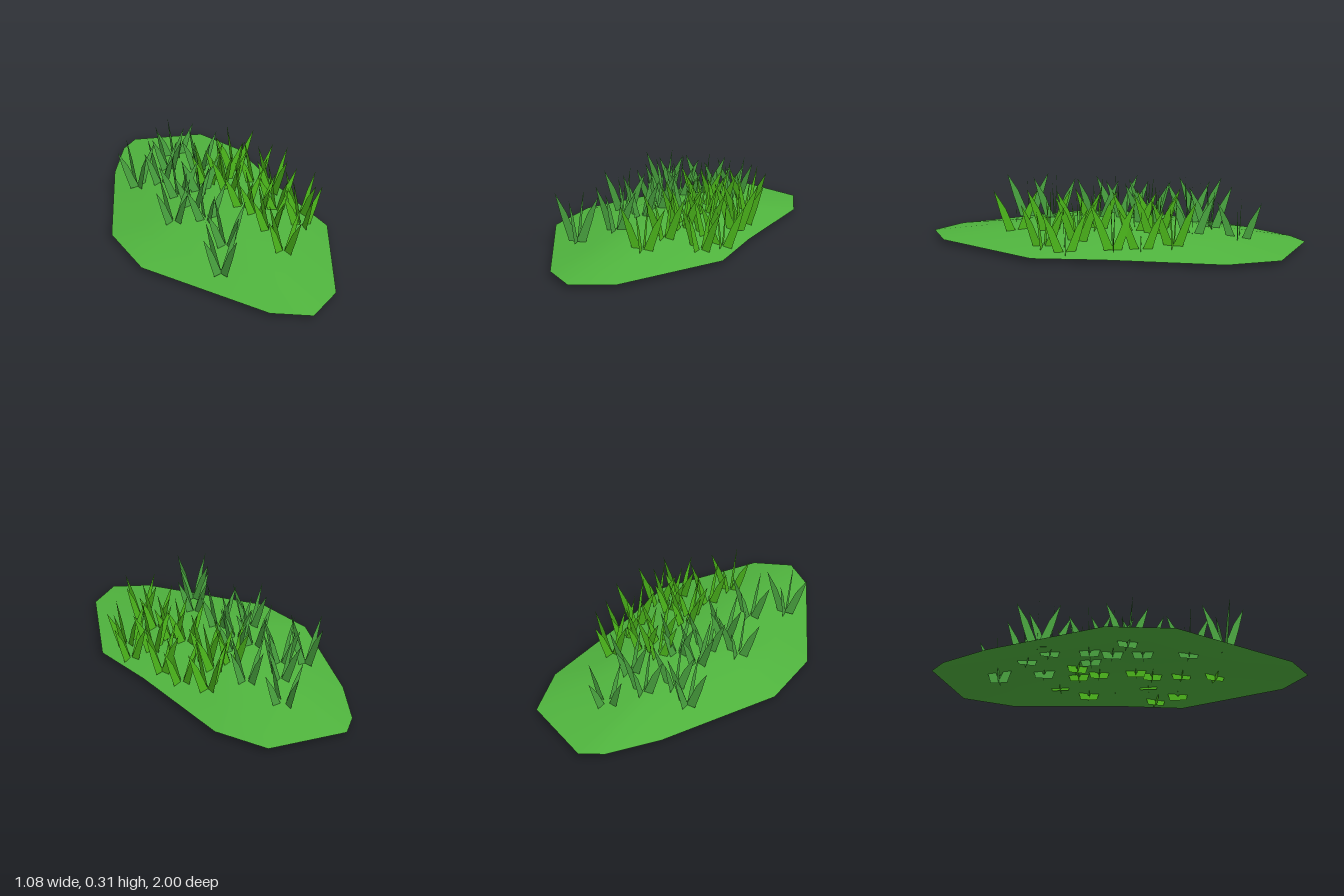
import * as THREE from 'three';

const GROUND = 0x50b53e, DEEP = 0x4caa42, BRIGHT = 0x4ebc1c;

// Outline of the mound seen from above, as x, z
const outline = [
  [0.04, -1], [0.42, -0.86], [0.52, -0.59], [0.49, 0.02], [0.5, 0.38], [0.19, 0.9],
  [-0.01, 1], [-0.18, 0.88], [-0.54, 0.24], [-0.54, -0.11], [-0.24, -0.7], [-0.07, -0.93],
];

// Tufts as x, base height, z
const deepTufts = [
  [0.13, 0.005, -0.65], [0.16, 0.05, -0.41], [-0.1, 0.06, -0.38], [-0.1, 0.065, -0.17],
  [-0.08, 0.065, -0.05], [-0.235, 0.06, 0.02], [-0.09, 0.065, 0.11], [-0.11, 0.065, 0.35],
  [-0.24, 0.06, 0.52], [0.03, 0.07, -0.16], [-0.22, 0.06, -0.44], [0.01, 0.06, -0.5],
];
const brightTufts = [
  [0.34, 0.055, -0.32], [0.38, 0.02, -0.16], [0.425, 0.015, 0.22], [0.36, 0.02, 0.34],
  [0.16, 0.06, 0.34], [0.13, 0.045, 0.52], [0.15, 0.065, 0.09], [0.18, 0.065, -0.11],
  [0.11, 0.065, -0.23], [0.21, 0.06, -0.22], [0.18, 0.06, 0.18], [0.4, 0.055, -0.02],
  [0.31, 0.06, 0.17],
];

// Open shell: outline rings shrinking up to a low apex
function moundGeometry() {
  const rings = [[1, 0.028], [0.7, 0.065], [0.38, 0.1]];
  const n = outline.length, pos = [], index = [];
  for (const [s, y] of rings) for (const [x, z] of outline) pos.push(x * s, y, z * s);
  pos.push(0, 0.112, 0);
  for (let r = 0; r < rings.length; r++) {
    for (let i = 0; i < n; i++) {
      const a = r * n + i, b = r * n + (i + 1) % n;
      if (r === rings.length - 1) index.push(a, rings.length * n, b);
      else index.push(a, a + n, b, b, a + n, b + n);
    }
  }
  const g = new THREE.BufferGeometry();
  g.setAttribute('position', new THREE.Float32BufferAttribute(pos, 3));
  g.setIndex(index);
  g.computeVertexNormals();
  return g;
}

// Two blades splaying from a shared flat foot
function bladeGeometry() {
  const side = [[0.045, 0], [0.085, 0.13], [0.115, 0.247], [0.055, 0.15], [0.004, 0.025]];
  const mirrored = side.map(([x, y]) => [-x, y]).reverse();
  const points = [...side, ...mirrored].map(([x, y]) => new THREE.Vector2(x, y));
  return new THREE.ShapeGeometry(new THREE.Shape(points));
}

export function createModel() {
  const group = new THREE.Group();
  const material = (color) => new THREE.MeshStandardMaterial({ color, side: THREE.DoubleSide });

  const mound = new THREE.Mesh(moundGeometry(), material(GROUND));
  mound.name = 'grassMound';
  group.add(mound);

  // Each tuft is two upright blade pairs crossing at right angles
  const blades = bladeGeometry();
  const addTufts = (list, color, name) => {
    const mat = material(color);
    list.forEach(([x, y, z], i) => {
      const tuft = new THREE.Group();
      tuft.name = name + (i + 1);
      for (let k = 0; k < 2; k++) {
        const pair = new THREE.Mesh(blades, mat);
        pair.name = 'bladePair';
        pair.rotation.y = k * Math.PI / 2;
        tuft.add(pair);
      }
      tuft.position.set(x, y, z);
      tuft.rotation.y = (i % 3 - 1) * 0.16 + 0.04;
      group.add(tuft);
    });
  };
  addTufts(deepTufts, DEEP, 'deepGreenTuft');
  addTufts(brightTufts, BRIGHT, 'brightGreenTuft');
  return group;
}
